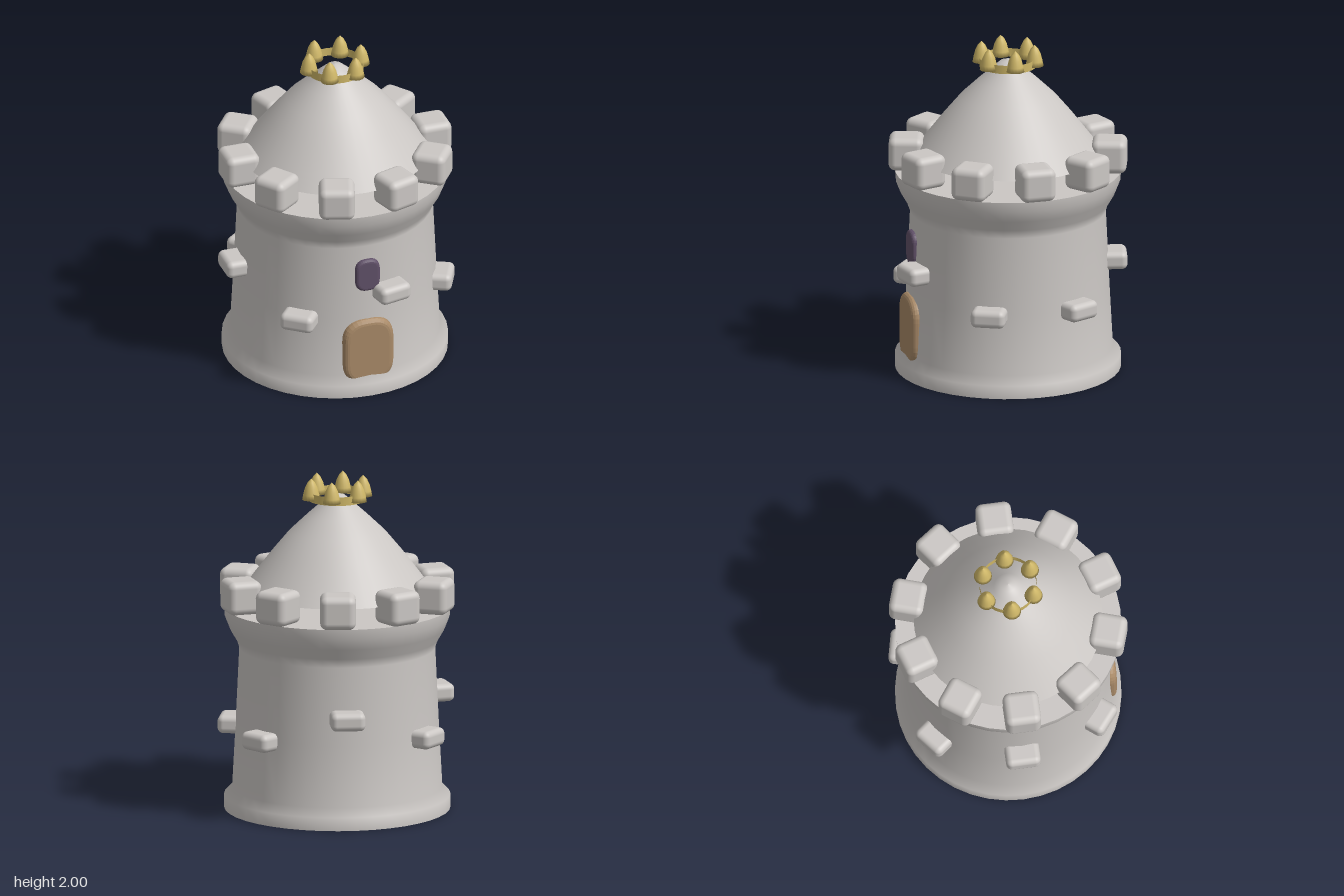
import * as THREE from 'three';
import { RoundedBoxGeometry } from 'three/addons/geometries/RoundedBoxGeometry.js';

const mat = (name, color, side = THREE.FrontSide) => {
  const m = new THREE.MeshStandardMaterial({ color, side });
  m.name = name;
  return m;
};
const stone = mat('stone grey', 0xcbc7c4, THREE.DoubleSide);
const wood = mat('door brown', 0xa98a68);
const dark = mat('window purple', 0x605068);
const gold = mat('crown gold', 0xcfb768, THREE.DoubleSide);

const lathe = (pts, seg) =>
  new THREE.LatheGeometry(pts.map(([r, y]) => new THREE.Vector2(r, y)), seg);

function add(parent, name, geometry, material, x = 0, y = 0, z = 0) {
  const mesh = new THREE.Mesh(geometry, material);
  mesh.name = name;
  mesh.position.set(x, y, z);
  parent.add(mesh);
  return mesh;
}

// Place a mesh on a circle, with its local x axis pointing outwards
function addRadial(parent, name, geometry, material, radius, y, angle) {
  const mesh = add(parent, name, geometry, material,
    Math.cos(angle) * radius, y, Math.sin(angle) * radius);
  mesh.rotation.y = -angle;
  return mesh;
}

// Softly rounded upright slab with large corner radius, centred on the origin
function slab(w, h, d, corner, bevel) {
  const x = w / 2 - bevel, y = h / 2 - bevel, r = corner - bevel;
  const s = new THREE.Shape();
  s.moveTo(-x + r, -y);
  s.lineTo(x - r, -y);
  s.quadraticCurveTo(x, -y, x, -y + r);
  s.lineTo(x, y - r);
  s.quadraticCurveTo(x, y, x - r, y);
  s.lineTo(-x + r, y);
  s.quadraticCurveTo(-x, y, -x, y - r);
  s.lineTo(-x, -y + r);
  s.quadraticCurveTo(-x, -y, -x + r, -y);
  const g = new THREE.ExtrudeGeometry(s, {
    depth: d - 2 * bevel, bevelEnabled: true, bevelThickness: bevel,
    bevelSize: bevel, bevelSegments: 4, curveSegments: 8,
  });
  return g.translate(0, 0, bevel - d / 2);
}

export function createModel() {
  const tower = new THREE.Group();
  tower.name = 'tower';

  // Hollow wall, open at the bottom, flaring out to the parapet
  add(tower, 'wall', lathe([
    [0.67, 0], [0.67, 0.08], [0.622, 0.13], [0.602, 0.5], [0.58, 0.97],
    [0.6, 1.025], [0.638, 1.09], [0.666, 1.16], [0.67, 1.22],
  ], 40), stone);
  const floor = add(tower, 'parapetFloor', new THREE.CircleGeometry(0.67, 40), stone, 0, 1.22);
  floor.rotation.x = -Math.PI / 2;

  // Roof floating just above the parapet floor
  add(tower, 'roof', lathe([
    [0.56, 1.32], [0.485, 1.42], [0.385, 1.55], [0.285, 1.67], [0.18, 1.77],
    [0.085, 1.855], [0.045, 1.89], [0, 1.9],
  ], 40), stone);

  // Ten battlement blocks
  const block = new RoundedBoxGeometry(0.208, 0.2, 0.212, 4, 0.042);
  for (let i = 0; i < 10; i++)
    addRadial(tower, 'battlement', block, stone, 0.601, 1.32, i * Math.PI / 5);

  // Seven stones set in the wall, mirrored front to back
  const brick = new RoundedBoxGeometry(0.2, 0.108, 0.206, 4, 0.035);
  const step = Math.PI * 2 / 7;
  for (let i = -3; i <= 3; i++)
    addRadial(tower, 'wallStone', brick, stone, 0.605,
      Math.abs(i) % 2 ? 0.495 : 0.66, Math.PI + i * step);

  // Door and window
  add(tower, 'door', slab(0.315, 0.43, 0.12, 0.14, 0.035), wood, 0, 0.275, 0.572);
  add(tower, 'window', slab(0.152, 0.21, 0.08, 0.07, 0.02), dark, 0, 0.78, 0.57);

  // Crown: thin band with six bulging spikes
  const crown = new THREE.Group();
  crown.name = 'crown';
  tower.add(crown);
  add(crown, 'crownBand',
    new THREE.CylinderGeometry(0.17, 0.17, 0.052, 32, 1, true), gold, 0, 1.886);
  const spike = lathe([
    [0, 0], [0.054, 0], [0.048, 0.03], [0.038, 0.07], [0.022, 0.104], [0, 0.127],
  ], 16);
  for (let i = 0; i < 6; i++)
    addRadial(crown, 'crownSpike', spike, gold, 0.162, 1.873, i * Math.PI / 3);

  return tower;
}
